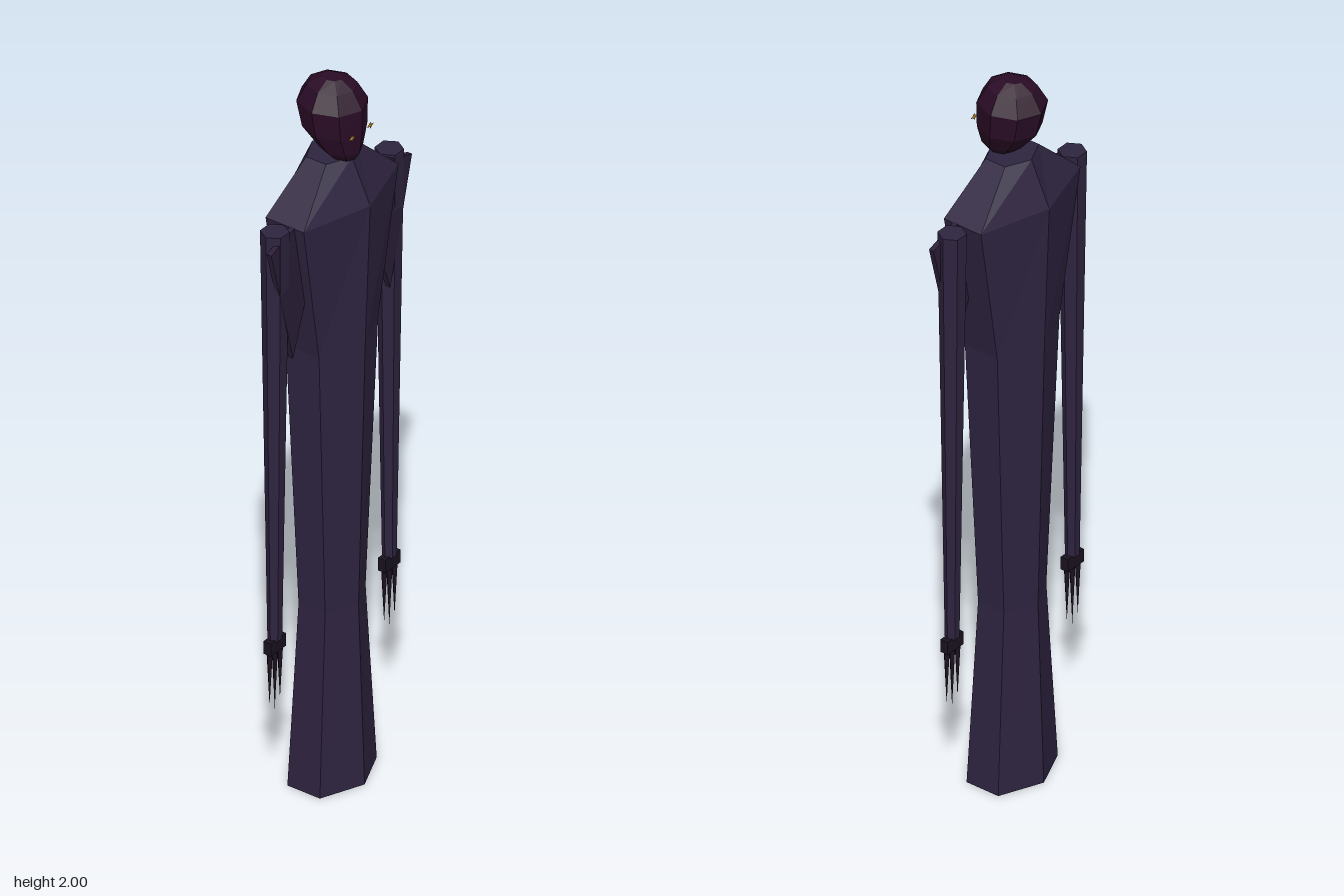
import * as THREE from 'three';

const flat = (name, color) => {
  const m = new THREE.MeshStandardMaterial({ color, flatShading: true });
  m.name = name;
  return m;
};

// Closed loft through rings [y, rx, rz, zCentre], first vertex facing +z
function loft(rings, sides) {
  const pos = [], index = [];
  for (const [y, rx, rz, zc = 0] of rings)
    for (let i = 0; i < sides; i++) {
      const a = (i / sides) * Math.PI * 2;
      pos.push(Math.sin(a) * rx, y, zc + Math.cos(a) * rz);
    }
  for (let r = 0; r < rings.length - 1; r++)
    for (let i = 0; i < sides; i++) {
      const j = (i + 1) % sides, a = r * sides + i, b = r * sides + j;
      index.push(a, b, b + sides, a, b + sides, a + sides);
    }
  const top = (rings.length - 1) * sides;
  for (let i = 1; i < sides - 1; i++) {
    index.push(0, i + 1, i);
    index.push(top, top + i, top + i + 1);
  }
  const g = new THREE.BufferGeometry();
  g.setAttribute('position', new THREE.Float32BufferAttribute(pos, 3));
  g.setIndex(index);
  const out = g.toNonIndexed();
  out.computeVertexNormals();
  return out;
}

export function createModel() {
  const model = new THREE.Group();
  const robeMat = flat('robe violet', 0x2e2440);
  const shardMat = flat('sleeve plum', 0x2b1d38);
  const headMat = flat('head maroon', 0x2a0c26);
  const clawMat = flat('claw black', 0x1a1220);
  const eyeMat = flat('eye gold', 0xc8922e);

  const add = (parent, name, geometry, material, x = 0, y = 0, z = 0) => {
    const mesh = new THREE.Mesh(geometry, material);
    mesh.name = name;
    mesh.position.set(x, y, z);
    parent.add(mesh);
    return mesh;
  };

  // Six-sided robe: [height, half width, half depth]
  const robe = [[0, 0.115, 0.098], [0.51, 0.082, 0.08], [1.27, 0.12, 0.1],
    [1.67, 0.192, 0.115], [1.79, 0.065, 0.06]];
  add(model, 'robe', loft(robe.map(([y, w, d]) => [y, w / 0.866, d]), 6), robeMat);

  // Faceted head with the jaw pushed forward
  add(model, 'head', loft([
    [1.788, 0.03, 0.035, 0.035], [1.81, 0.05, 0.055, 0.028], [1.865, 0.077, 0.082, 0.008],
    [1.935, 0.083, 0.091, 0], [1.98, 0.058, 0.064, 0], [2, 0.022, 0.028, 0],
  ], 8), headMat);

  for (const s of [1, -1]) {
    const side = s > 0 ? 'left' : 'right';

    // Eye: wide thin gem with a small upright one crossing it
    add(model, side + 'Eye', new THREE.OctahedronGeometry(0.014), eyeMat, s * 0.037, 1.873, 0.088)
      .scale.set(1, 0.35, 0.3);
    add(model, side + 'EyeGlint', new THREE.OctahedronGeometry(0.01), eyeMat, s * 0.037, 1.873, 0.088)
      .scale.set(0.4, 1, 0.45);

    // Long tapered arm
    const arm = new THREE.Group();
    arm.name = side + 'Arm';
    arm.position.x = s * 0.232;
    model.add(arm);
    add(arm, 'sleeve', new THREE.CylinderGeometry(0.036, 0.018, 1.17, 6), robeMat, 0, 1.088, 0)
      .rotation.y = Math.PI / 6;

    // Hand with three long claws
    add(arm, 'hand', new THREE.BoxGeometry(0.062, 0.036, 0.022), clawMat, 0, 0.488, 0);
    for (const i of [-1, 0, 1]) {
      const length = i ? 0.165 : 0.185;
      const claw = new THREE.ConeGeometry(0.01, length, 4).rotateX(Math.PI);
      add(arm, 'claw', claw, clawMat, i * 0.021, 0.485 - length / 2, 0);
    }

    // Ragged triangular shard hanging from the shoulder
    const shard = new THREE.Shape([[0.285, 1.64], [0.19, 1.672], [0.075, 1.64], [0.197, 1.3]]
      .map(([x, y]) => new THREE.Vector2(s * x, y)));
    add(model, side + 'Shard',
      new THREE.ExtrudeGeometry(shard, { depth: 0.014, bevelEnabled: false }), shardMat, 0, 0, 0.015);
  }
  return model;
}
